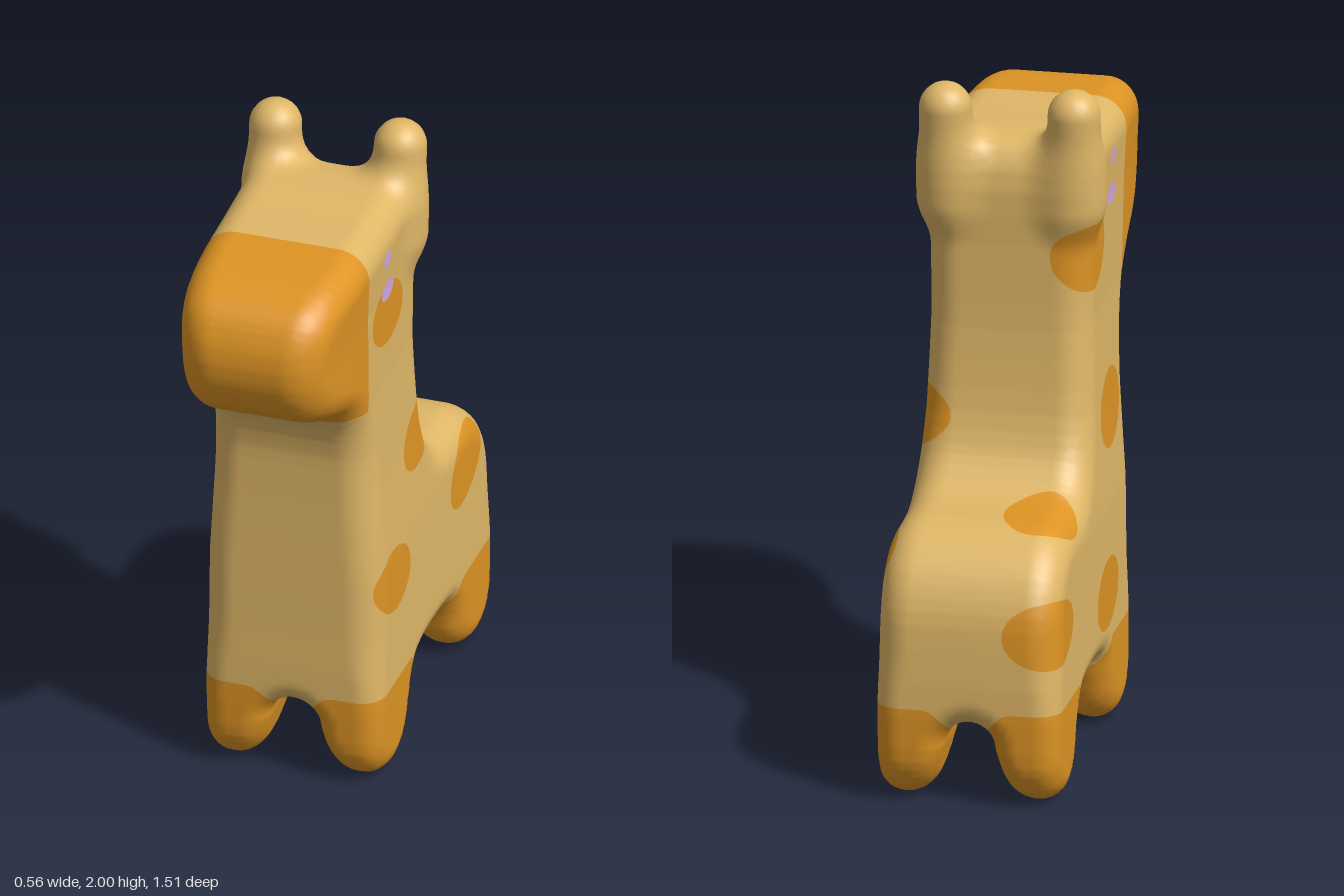
import * as THREE from 'three';

// Side silhouette as (z, y): muzzle top, head, back, rump, hind foot, belly, front foot, chest, chin
const SIDE = [
  [.752, 1.61], [.735, 1.7], [.69, 1.765], [.6, 1.807], [.45, 1.823], [.2, 1.833], [-.04, 1.84], [-.12, 1.815],
  [-.158, 1.74], [-.158, 1.5], [-.16, 1.23], [-.19, .99], [-.233, .89], [-.31, .822], [-.4, .81], [-.524, .803],
  [-.61, .77], [-.69, .70], [-.738, .6], [-.752, .48], [-.752, .2], [-.74, .11], [-.69, .035], [-.59, .004],
  [-.5, .03], [-.45, .085], [-.42, .17], [-.375, .235], [-.3, .255], [-.1, .257], [-.03, .235], [.0, .17],
  [.035, .085], [.085, .03], [.17, .004], [.27, .03], [.322, .1], [.335, .2], [.34, .6], [.344, 1.02],
  [.352, 1.13], [.385, 1.23], [.455, 1.31], [.587, 1.37], [.667, 1.42], [.73, 1.51],
];
const OUTLINE = new THREE.CatmullRomCurve3(SIDE.map(([z, y]) => new THREE.Vector3(z, y, 0)), true)
  .getPoints(140).map(p => [p.x, p.y]);

// Half width of the body by height
const WIDTH = [[-1, .27], [.3, .273], [.7, .268], [1, .25], [1.3, .24], [1.6, .243], [1.9, .258], [3, .258]];

// Signed distance to the side silhouette, negative inside
function sideDistance(z, y) {
  let best = Infinity, inside = false;
  for (let i = 0; i < OUTLINE.length - 1; i++) {
    const [az, ay] = OUTLINE[i], [bz, by] = OUTLINE[i + 1];
    const ez = bz - az, ey = by - ay, wz = z - az, wy = y - ay;
    const t = Math.min(1, Math.max(0, (wz * ez + wy * ey) / (ez * ez + ey * ey + 1e-12)));
    const dz = wz - ez * t, dy = wy - ey * t;
    best = Math.min(best, dz * dz + dy * dy);
    if ((ay > y) !== (by > y) && z < az + (y - ay) / ey * ez) inside = !inside;
  }
  return (inside ? -1 : 1) * Math.sqrt(best);
}

// Distance across the width, with the arch between left and right legs removed
function widthDistance(x, y, z) {
  const i = WIDTH.findIndex((w, k) => k > 0 && y <= w[0]);
  const [y0, w0] = WIDTH[i - 1], [y1, w1] = WIDTH[i];
  const half = w0 + (w1 - w0) * (y - y0) / (y1 - y0) - .25 * Math.max(0, z - .35) ** 2;
  const arch = .075 + .25 * Math.max(0, .175 - y) - Math.hypot(x, Math.max(0, y - .175));
  return Math.max(Math.abs(x) - half, arch);
}

// Capsule for the pair of horns
function hornDistance(x, y, z) {
  const t = Math.min(1, Math.max(0, (y - 1.65) / .273));
  return Math.hypot(Math.abs(x) - .19, y - (1.65 + .273 * t), z - (-.095 - .018 * t)) - .077;
}

// Whole animal: rounded meeting of the two silhouettes, horns blended on top
function solid(x, y, z) {
  const r = .075 + .025 * THREE.MathUtils.smoothstep(y, .25, .5);
  const a = sideDistance(z, y) + r, b = widthDistance(x, y, z) + r;
  const body = Math.min(Math.max(a, b), 0) + Math.hypot(Math.max(a, 0), Math.max(b, 0)) - r;
  const horn = hornDistance(x, y, z), k = .09;
  const h = Math.max(0, k - Math.abs(body - horn)) / k;
  return Math.min(body, horn) - h * h * k / 4;
}

function gradient(p) {
  const e = .004;
  return new THREE.Vector3(
    solid(p.x + e, p.y, p.z) - solid(p.x - e, p.y, p.z),
    solid(p.x, p.y + e, p.z) - solid(p.x, p.y - e, p.z),
    solid(p.x, p.y, p.z + e) - solid(p.x, p.y, p.z - e)).divideScalar(2 * e);
}

// Skin the solid: one point per grid cell on the surface, one quad per crossed grid edge
function skin() {
  const step = .02, n = [36, 107, 82], min = [-.36, -.07, -.82];
  const stride = [1, n[0], n[0] * n[1]];
  const at = (i, j, k) => i + j * stride[1] + k * stride[2];
  const value = new Float32Array(n[0] * n[1] * n[2]);
  for (let k = 0; k < n[2]; k++) for (let j = 0; j < n[1]; j++) for (let i = 0; i < n[0]; i++)
    value[at(i, j, k)] = solid(min[0] + i * step, min[1] + j * step, min[2] + k * step);

  const points = new Map();
  const cellPoint = id => {
    if (points.has(id)) return points.get(id);
    const i = id % n[0], j = Math.floor(id / n[0]) % n[1], k = Math.floor(id / stride[2]);
    const sum = new THREE.Vector3();
    let count = 0;
    for (let c = 0; c < 8; c++) for (let axis = 0; axis < 3; axis++) {
      if (c >> axis & 1) continue;
      const o = [c & 1, c >> 1 & 1, c >> 2 & 1];
      const va = value[at(i + o[0], j + o[1], k + o[2])];
      const vb = value[at(i + o[0], j + o[1], k + o[2]) + stride[axis]];
      if ((va < 0) === (vb < 0)) continue;
      o[axis] += va / (va - vb);
      sum.add(new THREE.Vector3(...o));
      count++;
    }
    const p = sum.divideScalar(count).add(new THREE.Vector3(i, j, k)).multiplyScalar(step)
      .add(new THREE.Vector3(...min));
    const g = gradient(p);
    p.addScaledVector(g, -solid(p.x, p.y, p.z) / Math.max(.25, g.lengthSq()));
    points.set(id, p);
    return p;
  };

  const triangles = [];
  for (let k = 1; k < n[2] - 1; k++) for (let j = 1; j < n[1] - 1; j++) for (let i = 1; i < n[0] - 1; i++)
    for (let axis = 0; axis < 3; axis++) {
      const id = at(i, j, k), inside = value[id] < 0;
      if (inside === value[id + stride[axis]] < 0) continue;
      const b = stride[(axis + 1) % 3], c = stride[(axis + 2) % 3];
      const q = [id, id - b, id - b - c, id - c].map(cellPoint);
      if (!inside) q.reverse();
      triangles.push([q[0], q[1], q[2]], [q[0], q[2], q[3]]);
    }
  return triangles;
}

// Cut triangles along the zero line of a field: [positive side, remaining side]
function split(triangles, field) {
  const parts = [[], []];
  for (const tri of triangles) {
    const f = tri.map(field);
    [1, -1].forEach((sign, side) => {
      const poly = [];
      for (let i = 0; i < 3; i++) {
        const j = (i + 1) % 3;
        if (f[i] * sign > 0 || (f[i] === 0 && side)) poly.push(tri[i]);
        if (f[i] * f[j] < 0) poly.push(tri[i].clone().lerp(tri[j], f[i] / (f[i] - f[j])));
      }
      for (let i = 2; i < poly.length; i++) parts[side].push([poly[0], poly[i - 1], poly[i]]);
    });
  }
  return parts;
}

// Oval marking: centre, radii, tilt seen from the side
const oval = ([cx, cy, cz], [rx, ry, rz], tilt = 0) => p => {
  const dy = p.y - cy, dz = p.z - cz, c = Math.cos(tilt), s = Math.sin(tilt);
  return 1 - Math.hypot((p.x - cx) / rx, (dy * c - dz * s) / ry, (dz * c + dy * s) / rz);
};
const anyOf = fields => p => Math.max(...fields.map(f => f(p)));

const eyeOvals = [-1, 1].flatMap(s => [
  oval([s * .245, 1.6, .165], [.1, .032, .055]),
  oval([s * .245, 1.71, .18], [.1, .03, .032]),
]);
const spotOvals = [
  oval([.25, 1.52, .163], [.15, .097, .14], .2),
  oval([.24, .98, -.09], [.12, .096, .135], -.3),
  oval([.27, .635, .17], [.15, .1, .138], .2),
  oval([.27, .655, -.483], [.15, .1, .152], -.4),
  oval([-.22, 1.5, -.07], [.12, .12, .14]),
  oval([-.25, .97, .1], [.15, .11, .135], .4),
  oval([-.27, .44, -.02], [.15, .1, .15], .15),
  oval([-.16, .81, -.43], [.11, .15, .14]),
  oval([-.24, .53, -.7], [.14, .1, .19]),
];
const muzzleField = p => Math.min(p.z - .33 - .055 * (p.y - 1.31), p.y - 1.28);
const feetField = p => .297 - p.y - 12 * Math.max(0, .13 - Math.abs(p.x)) ** 2
  - 30 * Math.max(0, .24 - Math.abs(p.z + .2)) ** 2;

function makeMesh(name, triangles, material) {
  const points = triangles.flat();
  const normals = new Map();
  for (const p of points) if (!normals.has(p)) normals.set(p, gradient(p).normalize());
  const geometry = new THREE.BufferGeometry().setFromPoints(points);
  geometry.setAttribute('normal', new THREE.Float32BufferAttribute(
    points.flatMap(p => normals.get(p).toArray()), 3));
  const mesh = new THREE.Mesh(geometry, material);
  mesh.name = name;
  return mesh;
}

export function createModel() {
  const paint = (name, color) => Object.assign(new THREE.MeshStandardMaterial({ color }), { name });
  const tan = paint('tan', 0xe0b767), orange = paint('orange', 0xde9424), lilac = paint('lilac', 0xd6aae2);
  const group = new THREE.Group();
  group.name = 'giraffe';
  let rest = skin();
  for (const [name, field, material] of [
    ['eyes', anyOf(eyeOvals), lilac],
    ['muzzle', muzzleField, orange],
    ['feet', feetField, orange],
    ['spots', anyOf(spotOvals), orange],
  ]) {
    const [part, others] = split(rest, field);
    group.add(makeMesh(name, part, material));
    rest = others;
  }
  group.add(makeMesh('body', rest, tan));
  return group;
}
